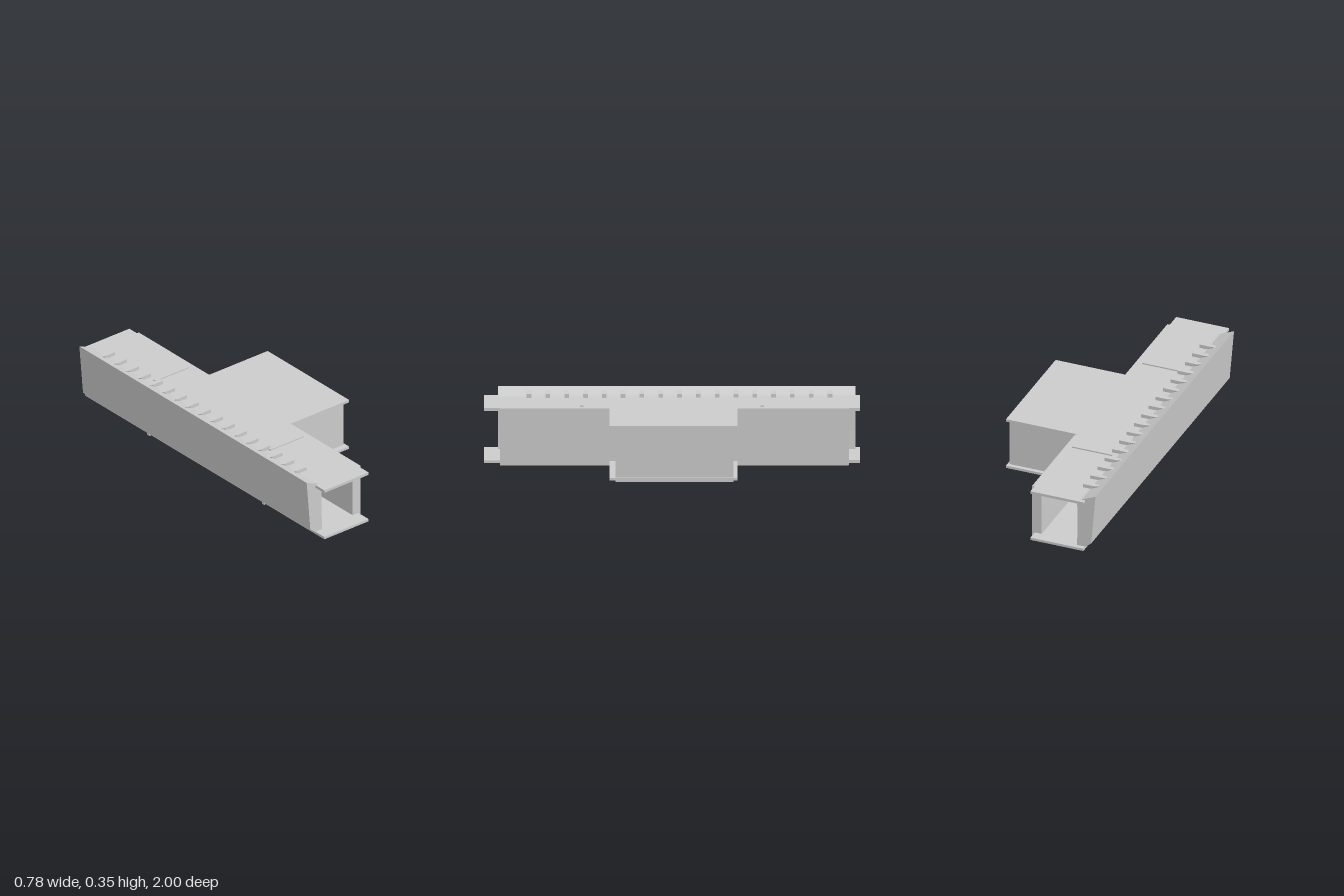
import * as THREE from 'three';

const material = new THREE.MeshStandardMaterial({ color: 0xcccccc, flatShading: true });

function addMesh(parent, name, geometry) {
  const mesh = new THREE.Mesh(geometry, material);
  mesh.name = name;
  parent.add(mesh);
  return mesh;
}

const shapeOf = (points) => new THREE.Shape(points.map(([a, b]) => new THREE.Vector2(a, b)));

// Plan outline (x, z) raised from y0 to y1
function planPrism(points, y0, y1) {
  const shape = shapeOf(points.map(([x, z]) => [x, -z]));
  const g = new THREE.ExtrudeGeometry(shape, { depth: y1 - y0, bevelEnabled: false });
  return g.rotateX(-Math.PI / 2).translate(0, y0, 0);
}

// Cross-section (x, y) run along z from z0 to z1
function sectionPrism(points, z0, z1) {
  const g = new THREE.ExtrudeGeometry(shapeOf(points), { depth: z1 - z0, bevelEnabled: false });
  return g.translate(0, 0, z0);
}

export function createModel() {
  const group = new THREE.Group();
  group.name = 'boxGirderJunction';

  // T-shaped top and bottom flange plates
  const flange = [
    [-0.33, 1], [-0.025, 1], [-0.025, 0.333], [0.39, 0.333],
    [0.39, -0.348], [-0.025, -0.348], [-0.025, -1], [-0.33, -1],
  ];
  addMesh(group, 'topFlange', planPrism(flange, 0.3, 0.315));
  addMesh(group, 'bottomFlange', planPrism(flange, 0.016, 0.03));

  // Side wall that follows the T around the stub
  const wall = [
    [-0.01, 0.915], [-0.01, 0.3], [0.38, 0.3], [0.38, -0.325], [-0.01, -0.325], [-0.01, -0.94],
    [-0.065, -0.94], [-0.065, -0.27], [0.35, -0.27], [0.35, 0.245], [-0.065, 0.245], [-0.065, 0.915],
  ];
  addMesh(group, 'stubSideWall', planPrism(wall, 0.006, 0.313));

  // Flared outer wall with a slightly hollowed inner face
  const flared = [
    [-0.39, 0.35], [-0.365, 0.057], [-0.33, 0.027], [-0.283, 0.027],
    [-0.287, 0.13], [-0.287, 0.25], [-0.28, 0.305], [-0.3, 0.3155],
    [-0.31, 0.3155],
  ];
  addMesh(group, 'flaredWall', sectionPrism(flared, -0.975, 0.925));

  // Cross diaphragms whose edges stand proud of both flanges
  const diaphragm = [
    [-0.325, 0], [-0.05, 0], [-0.05, 0.322], [-0.28, 0.322], [-0.285, 0.3], [-0.285, 0.03], [-0.325, 0.03],
  ];
  for (const z of [-0.48, 0.48]) {
    addMesh(group, 'diaphragm', sectionPrism(diaphragm, z - 0.009, z + 0.009));
  }

  // Row of wedge cleats against the flare, each with a pin inside
  const cleat = [[-0.36, 0.335], [-0.31, 0.313], [-0.265, 0.313], [-0.265, 0.335], [-0.34, 0.335]];
  const cleats = new THREE.Group();
  cleats.name = 'cleatRow';
  group.add(cleats);
  for (let i = 0; i < 17; i++) {
    const z = -0.84 + i * 0.1;
    const g = sectionPrism(cleat, -0.0125, 0.0125);
    const p = g.attributes.position;
    // Narrow the tip
    for (let k = 0; k < p.count; k++) if (p.getX(k) < -0.35) p.setZ(k, p.getZ(k) * 0.4);
    g.computeVertexNormals();
    addMesh(cleats, 'wedgeCleat', g).position.z = z;
    addMesh(cleats, 'innerPin', new THREE.BoxGeometry(0.03, 0.028, 0.026)).position.set(-0.28, 0.215, z);
  }

  return group;
}
